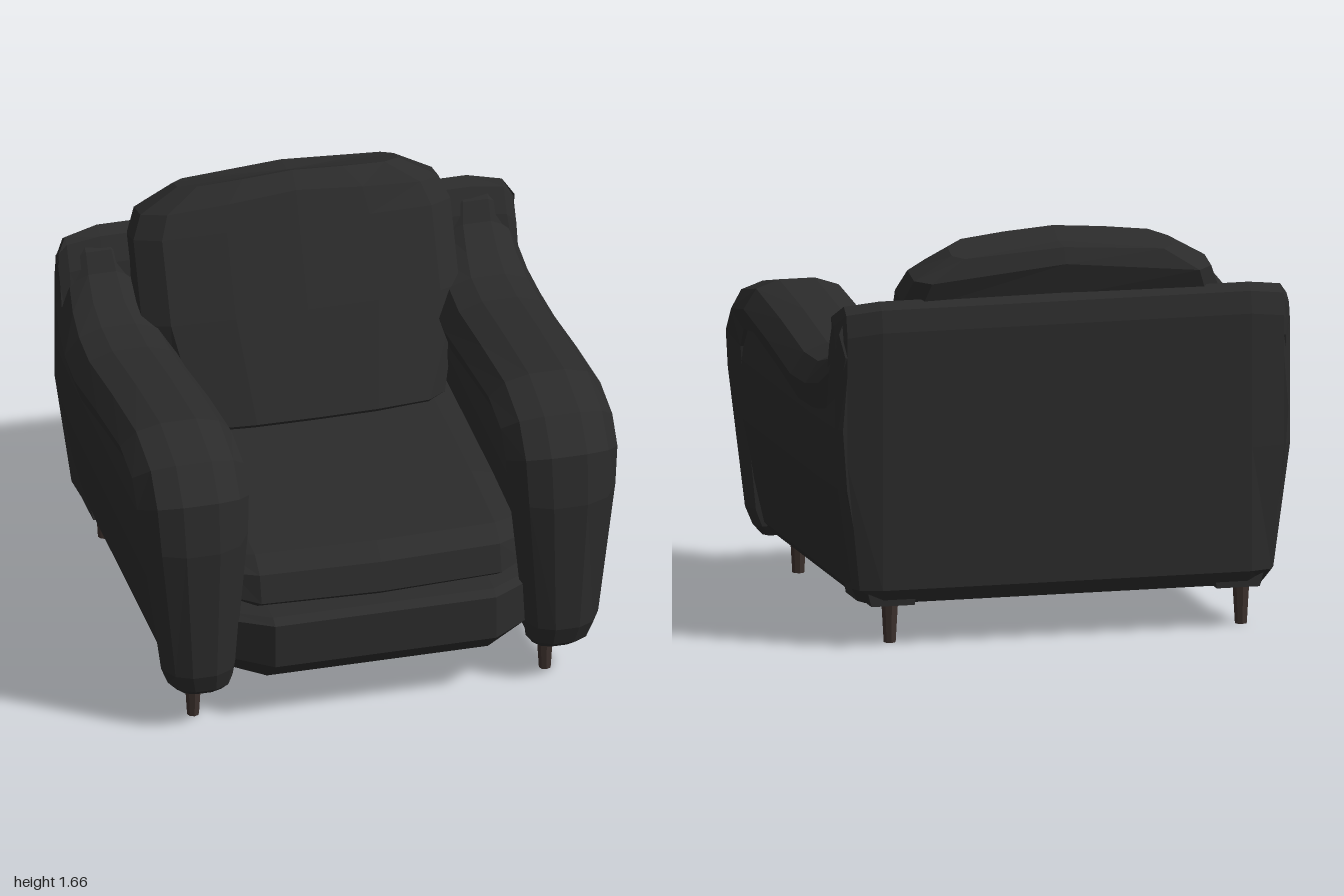
import * as THREE from 'three';

const leather = new THREE.MeshStandardMaterial({ color: 0x2b2b2b, flatShading: true });
const wood = new THREE.MeshStandardMaterial({ color: 0x3d312d, flatShading: true });

// Skin a row of equal rings of [x, y, z], close both ends, face outwards.
function loft(name, rings) {
  const n = rings[0].length, pos = rings.flat(2), idx = [];
  const at = (r, i) => r * n + (i % n);
  for (let r = 0; r < rings.length - 1; r++)
    for (let i = 0; i < n; i++)
      idx.push(at(r, i), at(r, i + 1), at(r + 1, i + 1), at(r, i), at(r + 1, i + 1), at(r + 1, i));
  for (const r of [0, rings.length - 1]) {
    const c = pos.length / 3;
    for (let k = 0; k < 3; k++) pos.push(rings[r].reduce((s, p) => s + p[k], 0) / n);
    for (let i = 0; i < n; i++)
      idx.push(c, at(r, r ? i : i + 1), at(r, r ? i + 1 : i));
  }
  const v = (i) => new THREE.Vector3().fromArray(pos, i * 3);
  let volume = 0;
  for (let i = 0; i < idx.length; i += 3)
    volume += v(idx[i]).dot(v(idx[i + 1]).cross(v(idx[i + 2])));
  if (volume < 0) idx.reverse();
  const g = new THREE.BufferGeometry();
  g.setAttribute('position', new THREE.Float32BufferAttribute(pos, 3));
  g.setIndex(idx);
  g.computeVertexNormals();
  const mesh = new THREE.Mesh(g, leather);
  mesh.name = name;
  return mesh;
}

const lerp = THREE.MathUtils.lerp;

// Piecewise linear lookup in [key, value] pairs.
function lookup(table, k) {
  for (let i = 1; i < table.length; i++) {
    const [a, va] = table[i - 1], [b, vb] = table[i];
    if (k <= b) return lerp(va, vb, Math.max(0, (k - a) / (b - a)));
  }
  return table[table.length - 1][1];
}
const outerX = (y) => lookup([[0.16, 0.85], [0.25, 0.9], [0.63, 0.97], [1.05, 1], [1.35, 0.97]], y);

// Padded roll: up the front, along the armrest, up to the backrest.
function armRoll(s) {
  // outer z, y; inner z, y; x range
  const path = [
    [0.79, 0.15, 0.7, 0.155, 0.64, 0.84],
    [0.84, 0.19, 0.67, 0.2, 0.61, 0.88],
    [0.865, 0.27, 0.665, 0.27, 0.6, 0.91],
    [0.88, 0.85, 0.63, 0.85, 0.545, 0.985],
    [0.85, 1.07, 0.61, 0.96, 0.535, 1],
    [0.73, 1.2, 0.56, 1.04, 0.535, 1],
    [0.48, 1.255, 0.41, 1.06, 0.535, 1],
    [0.1, 1.21, 0.05, 1, 0.535, 1],
    [-0.28, 1.15, -0.3, 0.93, 0.54, 1],
    [-0.47, 1.15, -0.5, 0.93, 0.55, 0.99],
    [-0.6, 1.19, -0.66, 0.95, 0.58, 0.975],
    [-0.69, 1.27, -0.78, 1, 0.6, 0.96],
    [-0.73, 1.35, -0.82, 1.1, 0.62, 0.95],
    [-0.8, 1.41, -0.85, 1.2, 0.64, 0.94],
  ];
  return loft('armRoll', path.map(([zo, yo, zi, yi, xi, xo]) => {
    const w = xo - xi;
    const section = [[0.93, 0], [1, 0.45], [0.87, 0.84], [0.66, 1], [0.34, 1], [0.13, 0.84], [0, 0.45], [0.07, 0]];
    return section.map(([f, t]) => [s * (xi + w * f), lerp(yi, yo, t), lerp(zi, zo, t)]);
  }));
}

// Side panel filling the space under the roll.
function armPanel(s) {
  const stations = [
    [0.73, 0.95, 0], [0.56, 1.09, 0], [0.41, 1.12, 0], [0.05, 1.06, 0], [-0.3, 1, 0],
    [-0.5, 1, 0], [-0.66, 1.03, 0.005], [-0.78, 1.15, 0.01], [-0.85, 1.25, 0.03],
  ];
  return loft('armPanel', stations.map(([z, top, inset]) => {
    const out = [0.22, 0.4, 0.65, 0.9].map((y) => [s * (outerX(y) - 0.03 - inset), y, z]);
    return [[s * 0.63, 0.17, z], [s * 0.81, 0.17, z], ...out,
      [s * (outerX(top) - 0.05 - inset), top, z], [s * 0.6, top, z], [s * 0.58, 0.85, z], [s * 0.62, 0.25, z]];
  }));
}

// Upright back shell with softened corners.
function backFrame() {
  const profile = [
    [-0.58, 0.18], [-0.84, 0.18], [-0.88, 0.24], [-0.88, 0.75], [-0.88, 1.3], [-0.86, 1.39],
    [-0.82, 1.42], [-0.76, 1.4], [-0.71, 1.3], [-0.62, 0.9],
  ];
  // x, back inset, top drop
  const stations = [[-0.95, 0.08, 0.07], [-0.91, 0.03, 0.02], [-0.77, 0, 0], [0, 0, 0],
    [0.77, 0, 0], [0.91, 0.03, 0.02], [0.95, 0.08, 0.07]];
  return loft('backFrame', stations.map(([x, inset, drop]) => profile.map(([z, y]) => {
    const lim = outerX(y) - 0.015 - (0.95 - Math.abs(x)) * 0.5;
    return [Math.sign(x) * Math.min(Math.abs(x), lim), y > 1.25 ? y - drop : y, z < -0.8 ? z + inset : z];
  })));
}

// Leaning back cushion, stacked from bottom to top.
function backCushion() {
  // front z, y; back z, y; half width; drop at the sides
  const stations = [
    [-0.28, 0.68, -0.5, 0.6, 0.53, 0],
    [-0.23, 0.74, -0.54, 0.66, 0.56, 0],
    [-0.395, 1.15, -0.68, 1.04, 0.66, 0],
    [-0.54, 1.48, -0.82, 1.4, 0.66, 0.02],
    [-0.59, 1.6, -0.855, 1.54, 0.62, 0.06],
    [-0.65, 1.66, -0.83, 1.605, 0.46, 0.03],
  ];
  const half = [[0.45, 0.02], [0.85, 0.12], [1, 0.4], [1, 0.8], [0.9, 1]];
  const section = [[0, 0], ...half, [0, 1], ...half.map(([f, t]) => [-f, t]).reverse()];
  return loft('backCushion', stations.map(([zf, yf, zb, yb, hw, drop]) =>
    section.map(([f, t]) => [f * hw, lerp(yf, yb, t) - drop * Math.abs(f), lerp(zf, zb, t)])));
}

// Loft a (z, y) profile across x; the ends pull in at the front.
function acrossX(name, profile, stations) {
  const all = [...stations.map(([x, ...r]) => [-x, ...r]).reverse(), [0, 0, 0], ...stations];
  return loft(name, all.map(([x, pull, squash]) => profile.map(([z, y]) => {
    const mid = (profile[0][1] + profile[profile.length - 1][1]) / 2;
    return [x, lerp(y, mid, squash), z > 0.6 ? z - pull : z];
  })));
}

export function createModel() {
  const chair = new THREE.Group();
  chair.name = 'armchair';

  for (const s of [1, -1]) {
    const arm = new THREE.Group();
    arm.name = s > 0 ? 'leftArm' : 'rightArm';
    arm.add(armRoll(s), armPanel(s));
    chair.add(arm);
  }
  chair.add(backFrame(), backCushion());

  // Seat cushion and the base below it
  chair.add(acrossX('seatCushion',
    [[-0.45, 0.72], [0.3, 0.725], [0.7, 0.705], [0.78, 0.65], [0.81, 0.53], [0.74, 0.48], [-0.45, 0.48]],
    [[0.5, 0.02, 0.03], [0.6, 0.08, 0.2]]));
  chair.add(acrossX('seatBase',
    [[-0.62, 0.48], [0.82, 0.48], [0.86, 0.46], [0.86, 0.27], [0.72, 0.15], [-0.42, 0.15], [-0.5, 0.18], [-0.62, 0.18]],
    [[0.46, 0, 0], [0.62, 0.11, 0.08]]));

  // Tapered legs
  const legGeometry = new THREE.CylinderGeometry(0.037, 0.025, 0.2, 8);
  for (const x of [-0.76, 0.705])
    for (const z of [0.69, -0.74]) {
      const leg = new THREE.Mesh(legGeometry, wood);
      leg.name = (z > 0 ? 'front' : 'back') + (x > 0 ? 'Left' : 'Right') + 'Leg';
      leg.position.set(x, 0.1, z);
      chair.add(leg);
    }
  return chair;
}
